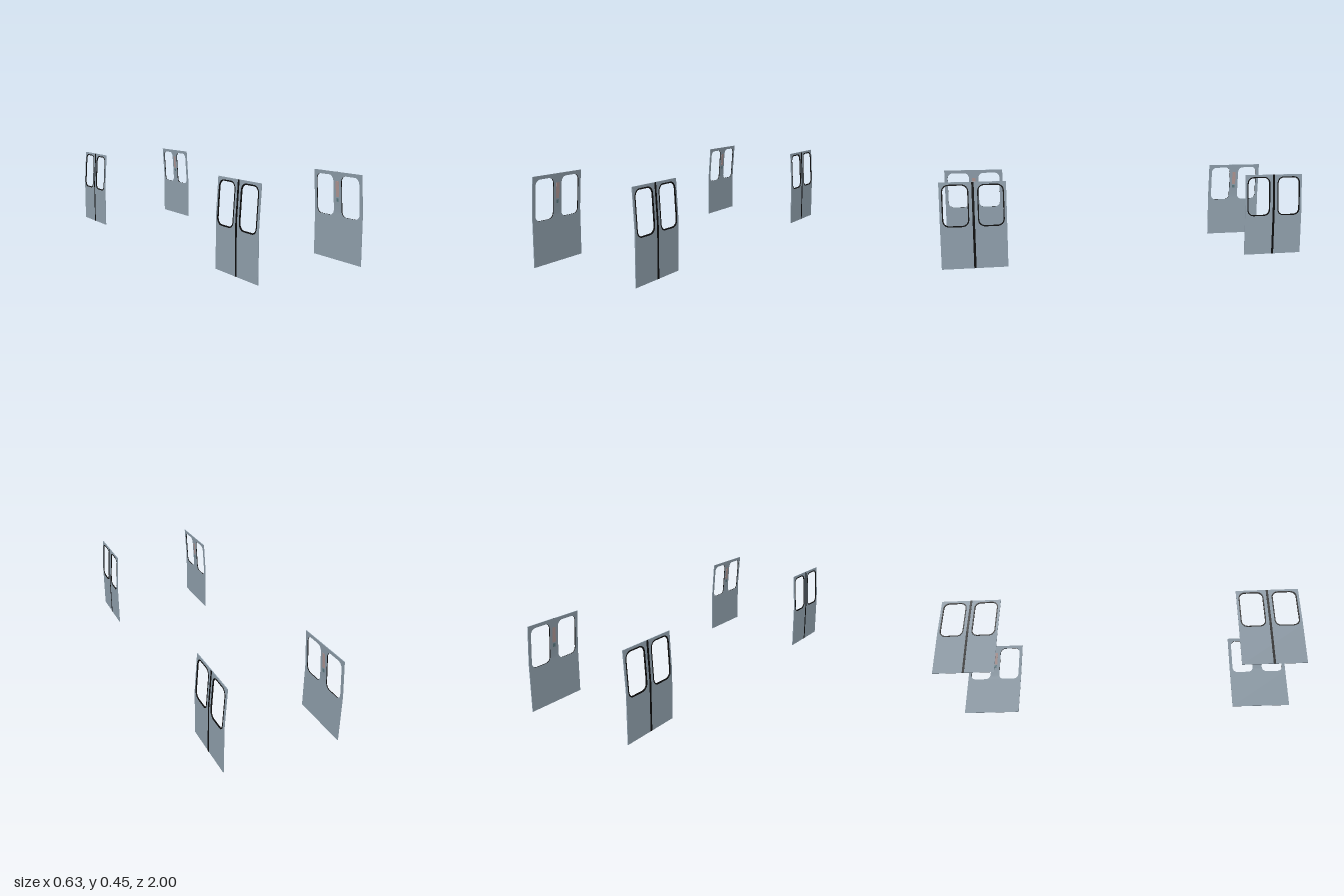
import * as THREE from 'three';

const HALF = 0.17, HEIGHT = 0.452, THICK = 0.004;
const WIN = { centre: 0.09, half: 0.062, y0: 0.226, y1: 0.434, r: 0.03 };
const BENDS = [0.262, 0.28];
const PROFILE = [[0, 0.3135], [0.245, 0.3135], [0.262, 0.3128], [0.28, 0.3118], [HEIGHT, 0.3005]];

// Outer skin x at height y: upright below, leaning inward above the waist
function skinX(y) {
  for (let i = 1; i < PROFILE.length; i++) {
    const [ya, xa] = PROFILE[i - 1], [yb, xb] = PROFILE[i];
    if (y <= yb || i === PROFILE.length - 1) return xa + (xb - xa) * (y - ya) / (yb - ya);
  }
}

// Heights and half widths up one side of a window outline, grown by t
function windowSide(t) {
  const { half, y0, y1, r } = WIN, rows = [], N = 6;
  const arc = (cy, from) => {
    for (let i = 0; i <= N; i++) {
      const a = from + (i / N) * Math.PI / 2;
      rows.push([cy + Math.sin(a) * (r + t), half - r + Math.cos(a) * (r + t)]);
    }
  };
  arc(y0 + r, -Math.PI / 2);
  BENDS.forEach((y) => rows.push([y, half + t]));
  arc(y1 - r, 0);
  return rows;
}

// Closed outline of [z, y], counter-clockwise seen from outside
function outline(rows, centre) {
  return [...rows.map(([y, h]) => [centre - h, y]),
    ...rows.slice().reverse().map(([y, h]) => [centre + h, y])];
}

// Collects quads given as [z, y] plus an offset from the outer skin
class Skin {
  constructor() { this.pos = []; }
  quad(a, oa, b, ob, c, oc, d, od) {
    const p = ([z, y], o) => [skinX(y) + o, y, z];
    const [A, B, C, D] = [p(a, oa), p(b, ob), p(c, oc), p(d, od)];
    this.pos.push(...A, ...B, ...C, ...A, ...C, ...D);
  }
  // Strip joining two outlines
  band(A, oa, B, ob) {
    A.forEach((a, i) => {
      const j = (i + 1) % A.length;
      this.quad(a, oa, B[i], ob, B[j], ob, A[j], oa);
    });
  }
  // Face between two z limits at two heights, outward or inward
  cell(y0, l0, r0, y1, l1, r1, o, inward) {
    const q = [[l0, y0], [r0, y0], [r1, y1], [l1, y1]];
    if (inward) q.reverse();
    this.quad(q[0], o, q[1], o, q[2], o, q[3], o);
  }
  // Bent plate with front, back and rim
  plate(zc, half, y0, y1, front, back) {
    const ys = [y0, ...PROFILE.map((p) => p[0]).filter((y) => y > y0 && y < y1), y1];
    for (let i = 1; i < ys.length; i++) {
      for (const [o, inward] of [[front, false], [back, true]])
        this.cell(ys[i - 1], zc + half, zc - half, ys[i], zc + half, zc - half, o, inward);
    }
    const loop = outline(ys.map((y) => [y, half]), zc);
    this.band(loop, front, loop, back);
  }
  mesh(name, material) {
    const g = new THREE.BufferGeometry();
    g.setAttribute('position', new THREE.Float32BufferAttribute(this.pos, 3));
    g.computeVertexNormals();
    const m = new THREE.Mesh(g, material);
    m.name = name;
    return m;
  }
}

// Door panel with two window openings
function panel() {
  const s = new Skin(), side = windowSide(0), c = WIN.centre;
  const rows = [[0, 0], [WIN.y0, 0], ...side, [WIN.y1, 0], [HEIGHT, 0]];
  for (let i = 1; i < rows.length; i++) {
    const [ya, ha] = rows[i - 1], [yb, hb] = rows[i];
    if (yb - ya < 1e-6) continue;
    const solid = i === 1 || i === rows.length - 1;
    const edges = (h) => solid ? [HALF, -HALF] : [HALF, c + h, c - h, -c + h, -c - h, -HALF];
    const ea = edges(ha), eb = edges(hb);
    for (let k = 0; k < ea.length; k += 2) {
      s.cell(ya, ea[k], ea[k + 1], yb, eb[k], eb[k + 1], 0, false);
      s.cell(ya, ea[k], ea[k + 1], yb, eb[k], eb[k + 1], -THICK, true);
    }
  }
  const edge = outline(PROFILE.map(([y]) => [y, HALF]), 0);
  s.band(edge, 0, edge, -THICK);
  return s;
}

// Rubber gaskets lining both windows
function gaskets() {
  const s = new Skin(), lip = 0.001;
  for (const c of [WIN.centre, -WIN.centre]) {
    const inner = outline(windowSide(0), c), outer = outline(windowSide(0.006), c);
    s.band(inner, -THICK, inner, lip);
    s.band(inner, lip, outer, lip);
    s.band(outer, lip, outer, 0);
  }
  return s;
}

export function createModel() {
  const mat = (name, color) => {
    const m = new THREE.MeshStandardMaterial({ color });
    m.name = name;
    return m;
  };
  const steel = mat('blue grey steel', 0x93a3b0);
  const rubber = mat('black rubber', 0x0c0c0c);
  const notice = mat('faded red notice', 0xb39a98);
  const teal = mat('teal notice', 0x5f7f86);

  const seam = new Skin(), label = new Skin(), tag = new Skin();
  seam.plate(0, 0.006, 0, HEIGHT, 0.001, 0);
  label.plate(0, 0.011, 0.325, 0.405, -THICK, -THICK - 0.0006);
  tag.plate(0, 0.008, 0.3, 0.318, -THICK, -THICK - 0.0006);

  const door = new THREE.Group();
  door.add(panel().mesh('doorPanel', steel), gaskets().mesh('windowGaskets', rubber),
    seam.mesh('centreSeam', rubber), label.mesh('innerNotice', notice), tag.mesh('innerTag', teal));

  // Four double doors, front and rear on both sides
  const model = new THREE.Group();
  model.name = 'doubleDoors';
  for (const side of ['left', 'right']) {
    for (const end of ['Front', 'Rear']) {
      const d = door.clone();
      d.name = `${side}${end}Door`;
      d.position.z = end === 'Front' ? 0.83 : -0.83;
      d.rotation.y = side === 'left' ? 0 : Math.PI;
      model.add(d);
    }
  }
  return model;
}
